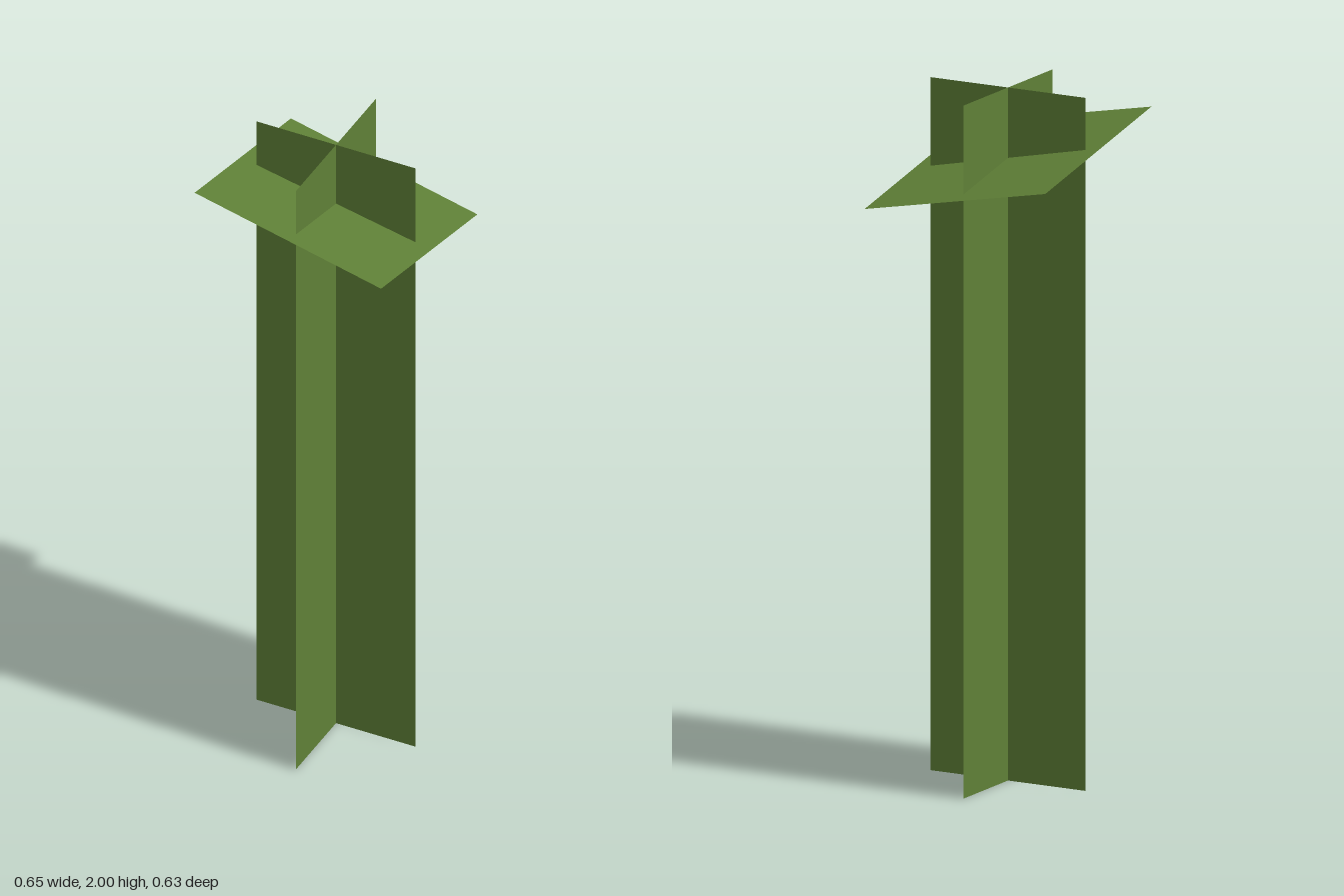
import * as THREE from 'three';

export function createModel() {
  const model = new THREE.Group();
  model.name = 'crossedBladePlant';

  const material = new THREE.MeshStandardMaterial({ color: 0x5f8037, side: THREE.DoubleSide, flatShading: true });

  const addSheet = (name, width, height) => {
    const sheet = new THREE.Mesh(new THREE.PlaneGeometry(width, height), material);
    sheet.name = name;
    model.add(sheet);
    return sheet;
  };

  // Two upright sheets crossing at right angles
  ['wideBlade', 'deepBlade'].forEach((name, i) => {
    const blade = addSheet(name, 0.5, 2);
    blade.position.y = 1;
    blade.rotation.y = Math.PI - i * Math.PI / 2;
  });

  // Tilted square sheet near the top
  const cap = addSheet('tiltedCap', 0.612, 0.612);
  cap.geometry.rotateX(-Math.PI / 2);
  cap.position.y = 1.797;
  cap.rotation.set(-0.21, 0, -0.2025);

  // Slight turn of the whole plant
  model.rotation.y = 0.092;
  return model;
}
